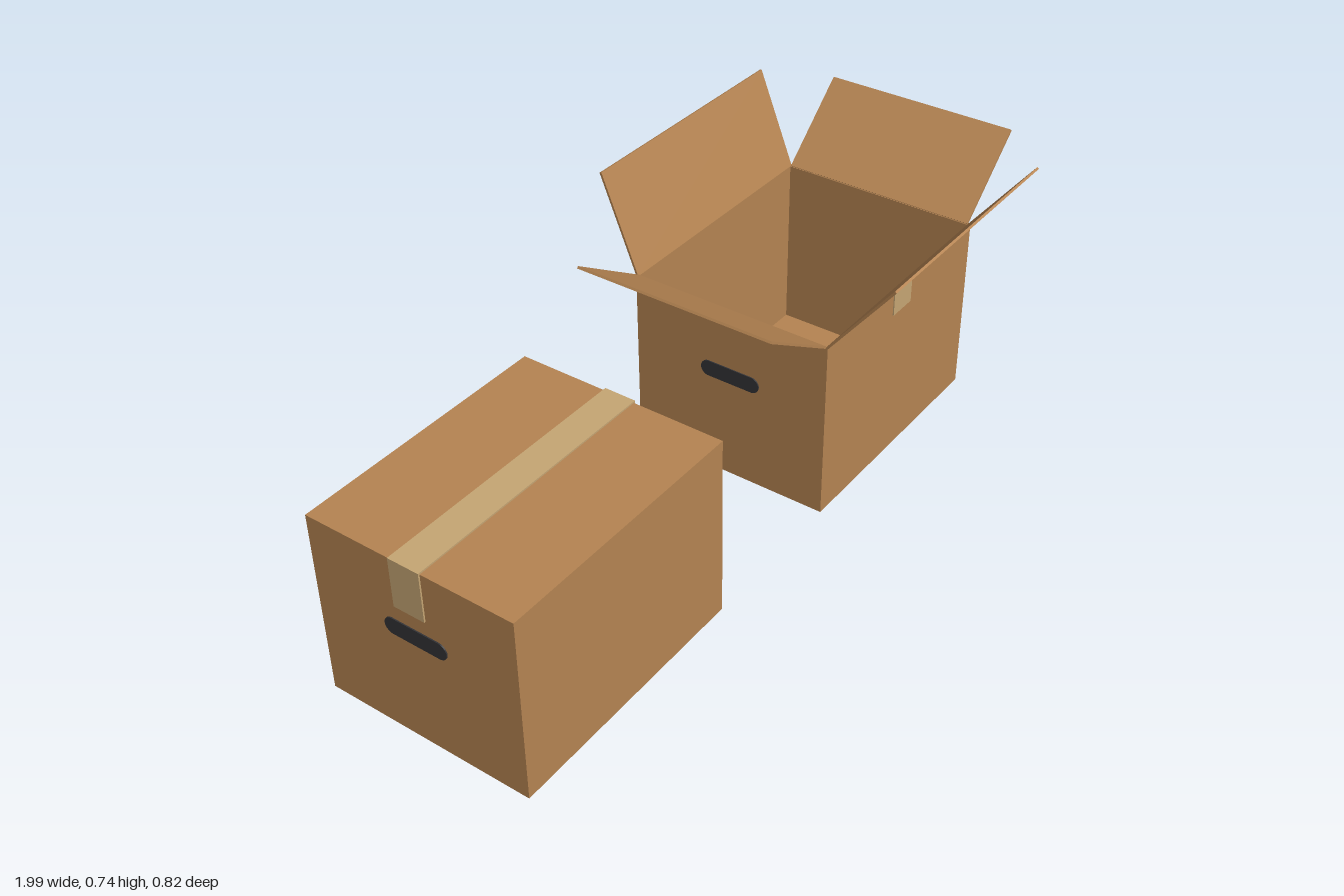
import * as THREE from 'three';

const cardboard = new THREE.MeshStandardMaterial({ color: 0xb58452 });
cardboard.name = 'cardboard';
const tape = new THREE.MeshStandardMaterial({ color: 0xc6a674 });
tape.name = 'packing tape';
const dark = new THREE.MeshStandardMaterial({ color: 0x333336 });
dark.name = 'handle dark';

const T = 0.006;          // board thickness
const W = 0.684;          // box width
const D = 0.549;          // box depth
const H = 0.484;          // box height
const ZC = -0.034;        // shared depth centre
const TAPE_W = 0.082;
const TAPE_T = 0.004;

function box(parent, name, mat, size, pos) {
  const mesh = new THREE.Mesh(new THREE.BoxGeometry(...size), mat);
  mesh.name = name;
  mesh.position.set(...pos);
  parent.add(mesh);
  return mesh;
}

// Rounded slot plates on both end walls
function addHandles(parent) {
  const r = 0.0215, half = 0.084 - r;
  const s = new THREE.Shape();
  s.absarc(half, 0, r, -Math.PI / 2, Math.PI / 2, false);
  s.absarc(-half, 0, r, Math.PI / 2, Math.PI * 1.5, false);
  s.closePath();
  const geo = new THREE.ExtrudeGeometry(s, { depth: 0.004, bevelEnabled: false, curveSegments: 10 });
  geo.translate(0, 0, -0.002).rotateY(Math.PI / 2);
  for (const side of [-1, 1]) {
    const handle = new THREE.Mesh(geo, dark);
    handle.name = side > 0 ? 'leftHandle' : 'rightHandle';
    handle.position.set(side * (W / 2 + 0.001), 0.298, 0.004);
    parent.add(handle);
  }
}

// Sealed box with tape over the top and down both ends
function closedBox() {
  const g = new THREE.Group();
  g.name = 'closedBox';
  box(g, 'closedBody', cardboard, [W, H, D], [0, H / 2, 0]);
  box(g, 'topTape', tape, [W + 2 * TAPE_T, TAPE_T, TAPE_W], [0, H + TAPE_T / 2, -0.004]);
  for (const side of [-1, 1]) {
    box(g, 'endTape', tape, [TAPE_T, 0.124, TAPE_W],
      [side * (W / 2 + TAPE_T / 2), H - 0.062, -0.004]);
  }
  addHandles(g);
  return g;
}

// Flap hinged at its lower edge; rise and reach give its free edge
function flap(parent, name, axis, side, reach, rise) {
  const len = Math.hypot(reach, rise), angle = Math.atan2(reach, rise);
  const hinge = new THREE.Group();
  hinge.name = name;
  if (axis === 'z') {
    hinge.position.set(0, H, side * (D / 2 - T / 2));
    hinge.rotation.x = side * angle;
    box(hinge, name + 'Board', cardboard, [W, len, T], [0, len / 2, 0]);
    box(hinge, name + 'Tape', tape, [TAPE_W, 0.072, 0.003], [0, 0.036, side * (T / 2 + 0.0015)]);
  } else {
    hinge.position.set(side * (W / 2 - T / 2), H, 0);
    hinge.rotation.z = -side * angle;
    box(hinge, name + 'Board', cardboard, [T, len, D - 0.014], [0, len / 2, 0]);
  }
  parent.add(hinge);
}

// Empty box with four splayed flaps
function openBox() {
  const g = new THREE.Group();
  g.name = 'openBox';
  box(g, 'floor', cardboard, [W, T, D], [0, T / 2, 0]);
  for (const side of [-1, 1]) {
    box(g, side > 0 ? 'frontWall' : 'backWall', cardboard, [W, H - T, T],
      [0, (H + T) / 2, side * (D - T) / 2]);
    box(g, side > 0 ? 'leftWall' : 'rightWall', cardboard, [T, H - T, D - 2 * T],
      [side * (W - T) / 2, (H + T) / 2, 0]);
    box(g, 'wallTape', tape, [TAPE_W, 0.07, 0.003], [0, H - 0.035, side * (D / 2 + 0.0015)]);
  }
  flap(g, 'frontFlap', 'z', 1, 0.168, 0.215);
  flap(g, 'backFlap', 'z', -1, 0.102, 0.253);
  flap(g, 'rightFlap', 'x', -1, 0.23, 0.142);
  flap(g, 'leftFlap', 'x', 1, 0.204, 0.181);
  addHandles(g);
  return g;
}

export function createModel() {
  const model = new THREE.Group();
  model.name = 'cardboardBoxes';
  const closed = closedBox();
  closed.position.set(-0.654, 0, ZC);
  const open = openBox();
  open.position.set(0.45, 0, ZC);
  model.add(closed, open);
  return model;
}
